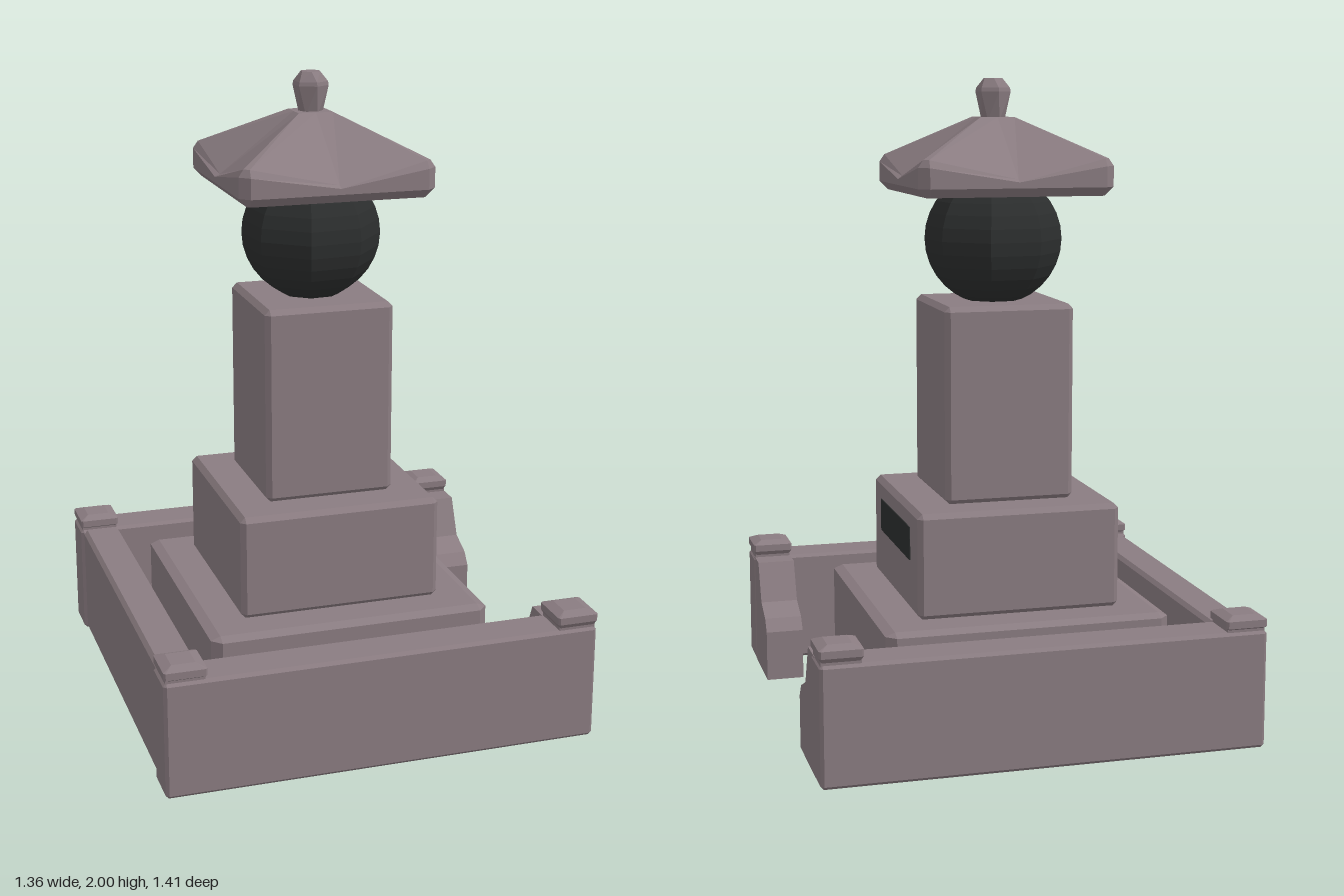
import * as THREE from 'three';

const CX = -0.02; // the tower sits slightly off the enclosure's centre

const stone = new THREE.MeshStandardMaterial({ color: 0x8a7c81, flatShading: true });
const dark = new THREE.MeshStandardMaterial({ color: 0x2c2e2e, flatShading: true });

// Closed solid through rings of [x, y, z] points, bottom to top
function loft(rings) {
  const pos = [];
  const tri = (a, b, c) => pos.push(...a, ...b, ...c);
  const n = rings[0].length;
  const centre = (r) => [0, 1, 2].map((k) => r.reduce((s, p) => s + p[k], 0) / n);
  const first = rings[0], last = rings[rings.length - 1];
  const c0 = centre(first), c1 = centre(last);
  for (let i = 0; i < n; i++) {
    const j = (i + 1) % n;
    for (let r = 0; r + 1 < rings.length; r++) {
      const a = rings[r], b = rings[r + 1];
      tri(a[i], b[i], a[j]);
      tri(a[j], b[i], b[j]);
    }
    tri(c0, first[i], first[j]);
    tri(c1, last[j], last[i]);
  }
  const g = new THREE.BufferGeometry();
  g.setAttribute('position', new THREE.Float32BufferAttribute(pos, 3));
  g.computeVertexNormals();
  return g;
}

// Rectangle with cut corners and side midpoints, which may sit at another height
function rectRing(w, d, cut, y, yMid = y) {
  const a = w - cut, b = d - cut;
  return [
    [w, y, -b], [w, yMid, 0], [w, y, b],
    [a, y, d], [0, yMid, d], [-a, y, d],
    [-w, y, b], [-w, yMid, 0], [-w, y, -b],
    [-a, y, -d], [0, yMid, -d], [a, y, -d],
  ];
}

// Regular ring, optionally twisted
function polyRing(n, radius, y, twist = 0) {
  return Array.from({ length: n }, (_, i) => {
    const t = (i / n) * Math.PI * 2 + twist;
    return [radius * Math.cos(t), y, radius * Math.sin(t)];
  });
}

// Box with chamfered edges, given by its limits
function chamferBox(x0, x1, y0, y1, z0, z1, c, cy = c) {
  const w = (x1 - x0) / 2, d = (z1 - z0) / 2;
  const g = loft([
    rectRing(w - c, d - c, 0, y0),
    rectRing(w, d, c, y0 + cy),
    rectRing(w, d, c, y1 - cy),
    rectRing(w - c, d - c, 0, y1),
  ]);
  return g.translate((x0 + x1) / 2, 0, (z0 + z1) / 2);
}

export function createModel() {
  const model = new THREE.Group();
  model.name = 'stoneMonument';
  const add = (name, geometry, material = stone) => {
    const mesh = new THREE.Mesh(geometry, material);
    mesh.name = name;
    model.add(mesh);
    return mesh;
  };
  const block = (name, half, y0, y1, c, cy) =>
    add(name, chamferBox(CX - half, CX + half, y0, y1, -half, half, c, cy));

  // Stacked blocks of the tower
  block('base', 0.448, 0, 0.362, 0.03, 0.012);
  block('plinth', 0.322, 0.36, 0.692, 0.016);
  block('pillar', 0.206, 0.69, 1.308, 0.016);

  // Dark plate on the plinth, facing the entrance
  const plate = new THREE.BoxGeometry(0.02, 0.105, 0.42);
  add('plate', plate.translate(0.295, 0.578, 0.002), dark);

  // Faceted ball
  const ball = new THREE.SphereGeometry(0.217, 8, 16);
  ball.rotateY(Math.PI / 8 + 0.1).scale(1, 0.98, 1);
  add('ball', ball.translate(CX, 1.5, 0), dark);

  // Roof with raised corners
  add('roof', loft([
    rectRing(0.28, 0.28, 0.01, 1.645),
    rectRing(0.306, 0.306, 0.03, 1.672),
    rectRing(0.306, 0.306, 0.03, 1.735, 1.69),
    rectRing(0.29, 0.29, 0.015, 1.758, 1.698),
    rectRing(0.055, 0.055, 0, 1.88),
  ]).translate(CX, 0, 0));

  // Twisted finial
  add('finial', loft([
    polyRing(6, 0.036, 1.87, 0.2),
    polyRing(6, 0.056, 1.958, 0.45),
    polyRing(6, 0.054, 1.97, 0.45),
    polyRing(6, 0.032, 2.0, 0.7),
  ]).translate(CX, 0, 0));

  // Enclosure: two side walls, a rear wall and stepped wings at the entrance
  add('rearWall', chamferBox(-0.67, -0.548, 0, 0.365, -0.6, 0.6, 0.012));
  for (const s of [1, -1]) {
    const side = s > 0 ? 'Left' : 'Right';
    const z0 = s > 0 ? 0.567 : -0.706;
    add('wall' + side, chamferBox(-0.68, 0.678, 0, 0.367, z0, z0 + 0.139, 0.01));

    const profile = [
      [0.6, 0], [0.335, 0], [0.335, 0.165], [0.365, 0.205],
      [0.445, 0.24], [0.5, 0.365], [0.6, 0.365],
    ];
    const shape = new THREE.Shape(profile.map(([z, y]) => new THREE.Vector2(s * z, y)));
    const wing = new THREE.ExtrudeGeometry(shape, { depth: 0.122, bevelEnabled: false });
    add('wing' + side, wing.rotateY(-Math.PI / 2).translate(0.675, 0, 0));

    // Corner caps on short necks
    for (const [x0, x1, top, place] of [[-0.68, -0.548, 0.413, 'Rear'], [0.55, 0.678, 0.421, 'Entrance']]) {
      const z1 = z0 + 0.139, xm = (x0 + x1) / 2, zm = (z0 + z1) / 2;
      const neck = new THREE.BoxGeometry(0.118, 0.03, 0.122);
      add('capNeck' + place + side, neck.translate(xm, 0.37, zm));
      const cap = loft([
        rectRing(0.058, 0.062, 0.004, 0.374),
        rectRing(0.065, 0.07, 0.006, top - 0.034),
        rectRing(0.065, 0.07, 0.006, top - 0.012),
        rectRing(0.036, 0.04, 0, top),
      ]);
      add('cap' + place + side, cap.translate(xm, 0, zm));
    }
  }
  return model;
}
